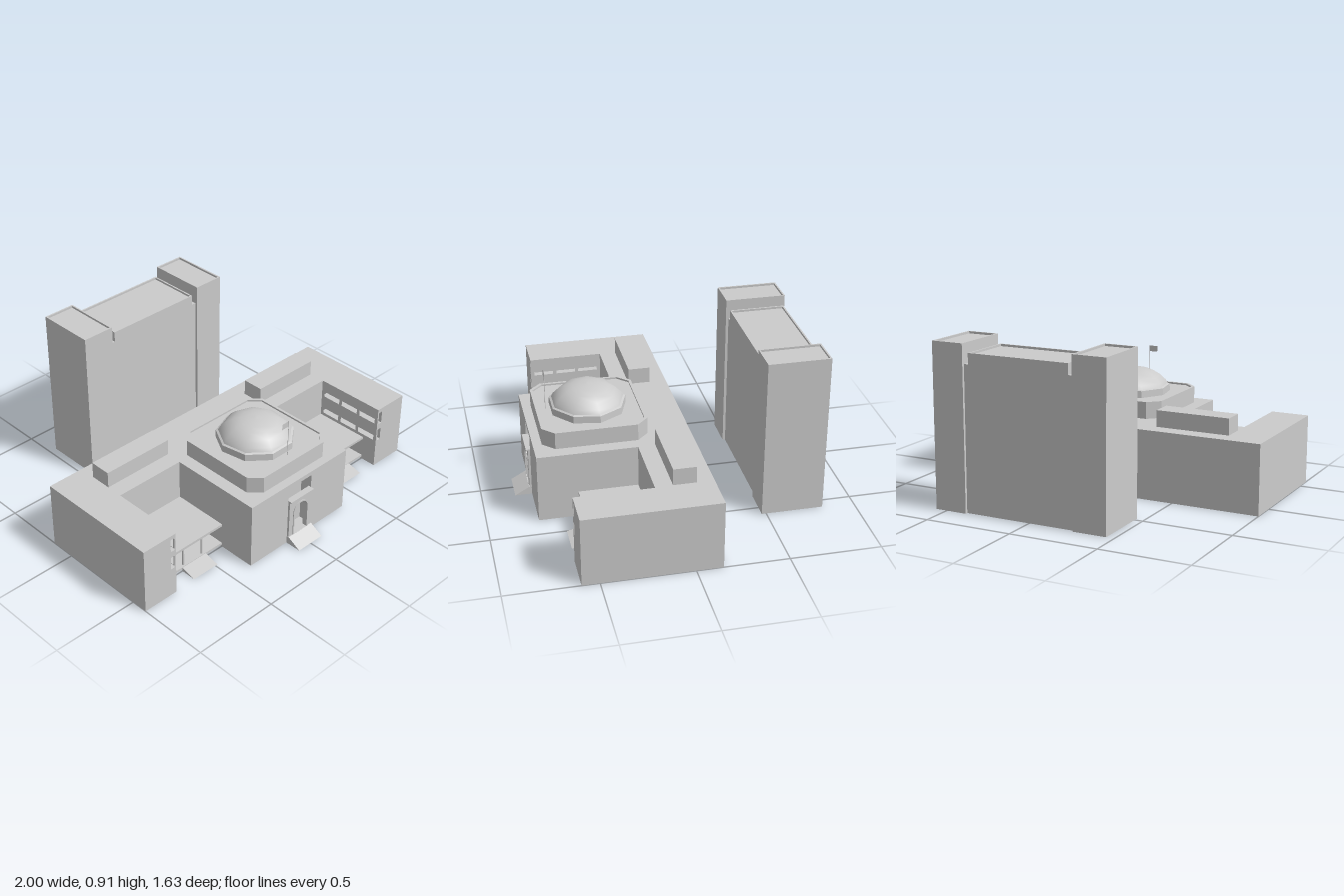
import * as THREE from 'three';
import { mergeGeometries } from 'three/addons/utils/BufferGeometryUtils.js';

const grey = new THREE.MeshStandardMaterial({ color: 0xcccccc, side: THREE.DoubleSide });
const flat = new THREE.MeshStandardMaterial({ color: 0xcccccc, side: THREE.DoubleSide, flatShading: true });

const rect = (x0, z0, x1, z1) => [[x0, z1], [x1, z1], [x1, z0], [x0, z0]];
const poly = (pts, Type = THREE.Shape) => new Type(pts.map(([x, y]) => new THREE.Vector2(x, y)));

// Upright wall from plan point a to b, with rectangular holes [u0, y0, u1, y1]
function wall(a, b, y0, y1, holes = []) {
  const dx = b[0] - a[0], dz = b[1] - a[1], len = Math.hypot(dx, dz);
  const shape = poly([[0, y0], [len, y0], [len, y1], [0, y1]]);
  for (const [u0, v0, u1, v1] of holes) {
    shape.holes.push(poly([[u0, v0], [u0, v1], [u1, v1], [u1, v0]], THREE.Path));
  }
  return new THREE.ShapeGeometry(shape).rotateY(Math.atan2(-dz, dx)).translate(a[0], 0, a[1]);
}

// Horizontal face over a plan outline, optionally with an inner outline cut out
function deck(pts, y, hole) {
  const flip = ([x, z]) => [x, -z];
  const shape = poly(pts.map(flip));
  if (hole) shape.holes.push(poly(hole.map(flip), THREE.Path));
  return new THREE.ShapeGeometry(shape).rotateX(-Math.PI / 2).translate(0, y, 0);
}

// Hollow block open underneath; "inner" gives the outline of a sunken roof behind a lip
function block(pts, y0, y1, { holes = {}, inner, sink = 0.012 } = {}) {
  const loop = (p, lo, hi, h = {}) => p.map((a, i) => wall(a, p[(i + 1) % p.length], lo, hi, h[i]));
  const parts = loop(pts, y0, y1, holes);
  if (inner) {
    parts.push(deck(pts, y1, inner), deck(inner, y1 - sink));
    parts.push(...loop([...inner].reverse(), y1 - sink, y1));
  } else parts.push(deck(pts, y1));
  return mergeGeometries(parts);
}

// Octagonal plan: a rectangle with cut corners
function cutRect(x, z0, z1, c) {
  return [[-x + c, z1], [x - c, z1], [x, z1 - c], [x, z0 + c],
    [x - c, z0], [-x + c, z0], [-x, z0 + c], [-x, z1 - c]];
}

function box(x0, x1, y0, y1, z0, z1) {
  return new THREE.BoxGeometry(x1 - x0, y1 - y0, z1 - z0)
    .translate((x0 + x1) / 2, (y0 + y1) / 2, (z0 + z1) / 2);
}

// Sloping ramp that falls towards the front
function ramp(x0, x1, z0, z1, h) {
  return new THREE.ExtrudeGeometry(poly([[-z0, 0], [-z0, h], [-z1, 0]]), { depth: x1 - x0, bevelEnabled: false })
    .rotateY(Math.PI / 2).translate(x0, 0, 0);
}

// Opening with a rounded head
function archPath(w, y0, top, Type) {
  const p = new Type();
  p.moveTo(-w, y0);
  p.lineTo(w, y0);
  p.lineTo(w, top - w);
  p.absarc(0, top - w, w, 0, Math.PI, false);
  p.lineTo(-w, y0);
  return p;
}

export function createModel() {
  const model = new THREE.Group();
  const add = (name, geo, mat = grey, parent = model) => {
    const m = new THREE.Mesh(geo, mat);
    m.name = name;
    parent.add(m);
    return m;
  };

  // Main building: back range, two wings and a projecting centre
  const plan = [[-1, 0.595], [-0.785, 0.595], [-0.785, 0.17], [-0.365, 0.17], [-0.365, 0.72], [0.365, 0.72],
    [0.365, 0.17], [0.785, 0.17], [0.785, 0.595], [1, 0.595], [1, -0.145], [-1, -0.145]];
  const rows = [[0.17, 0.25], [0.285, 0.365]];
  const windows = [0.02, 0.155, 0.29].flatMap(u => rows.map(([a, b]) => [u, a, u + 0.115, b]));
  const slots = u => rows.map(([a, b]) => [u, a, u + 0.025, b]);
  add('mainBuilding', block(plan, 0, 0.39, {
    holes: {
      0: slots(0.18), 8: slots(0.01),
      1: windows, 7: windows.map(([u0, a, u1, b]) => [0.425 - u1, a, 0.425 - u0, b]),
      4: [[0.277, 0.04, 0.453, 0.365]],
    },
  }));

  // Both courtyards: galleries, porches and roof boxes
  for (const s of [-1, 1]) {
    const side = new THREE.Group();
    side.name = s > 0 ? 'leftCourtyard' : 'rightCourtyard';
    model.add(side);
    const put = (name, x0, x1, ...rest) =>
      add(name, box(Math.min(s * x0, s * x1), Math.max(s * x0, s * x1), ...rest), grey, side);
    for (const [a, b] of [[0.158, 0.17], [0.25, 0.285], [0.365, 0.378]]) {
      put('gallerySlab', 0.787, 0.825, a, b, 0.172, 0.593);
    }
    put('galleryBackWall', 0.825, 0.83, 0.158, 0.378, 0.172, 0.593);
    put('porchRoof', 0.365, 0.785, 0.138, 0.153, 0.17, 0.5);
    put('porchFloor', 0.365, 0.785, 0.012, 0.025, 0.17, 0.5);
    for (const x of [0.502, 0.635]) {
      add('porchColumn', new THREE.CylinderGeometry(0.006, 0.006, 0.113, 10)
        .translate(s * x, 0.0815, 0.485), grey, side);
    }
    const rx = s > 0 ? 0.5 : -0.655;
    add('porchRamp', ramp(rx, rx + 0.17, 0.5, 0.59, 0.022), grey, side);
    const bx = s > 0 ? 0.355 : -0.785;
    add('roofBox', block(rect(bx, -0.05, bx + 0.425, 0.075), 0.39, 0.483), grey, side);
  }

  // Entrance recess (open at the front), portal and ramp
  const recess = [[-0.088, 0.72], [-0.088, 0.65], [0.088, 0.65], [0.088, 0.72]];
  add('entranceRecess', mergeGeometries([
    ...[0, 1, 2].map(i => wall(recess[i], recess[i + 1], 0.04, 0.365)),
    deck(rect(-0.088, 0.65, 0.088, 0.72), 0.365), deck(rect(-0.088, 0.65, 0.088, 0.72), 0.04),
  ]));
  const portal = poly([[-0.088, 0.04], [0.088, 0.04], [0.088, 0.278], [-0.088, 0.278]]);
  portal.holes.push(archPath(0.05, 0.045, 0.24, THREE.Path));
  add('entrancePortal', new THREE.ExtrudeGeometry(portal, { depth: 0.025, bevelEnabled: false, curveSegments: 6 })
    .translate(0, 0, 0.707), flat);
  const band = archPath(0.058, 0.042, 0.249, THREE.Shape);
  band.holes.push(archPath(0.05, 0.045, 0.24, THREE.Path));
  add('archMoulding', new THREE.ExtrudeGeometry(band, { depth: 0.004, bevelEnabled: false, curveSegments: 6 })
    .translate(0, 0, 0.732), flat);
  add('portalCornice', box(-0.088, 0.088, 0.276, 0.285, 0.705, 0.743));
  add('entranceLanding', box(-0.09, 0.088, 0, 0.045, 0.721, 0.735));
  add('entranceRamp', ramp(-0.09, 0.088, 0.735, 0.815, 0.045));

  // Drum with lip, nine-sided ring and dome
  add('drum', block(cutRect(0.292, 0.09, 0.67, 0.064), 0.39, 0.486,
    { inner: cutRect(0.277, 0.105, 0.655, 0.058), sink: 0.01 }));
  const ringProfile = [[0.217, 0.476], [0.215, 0.515], [0.203, 0.52]];
  const domeProfile = [[0.205, 0.515], [0.192, 0.54], [0.162, 0.57], [0.125, 0.593], [0.085, 0.606], [0.042, 0.613], [0, 0.615]];
  const lathe = profile => new THREE.LatheGeometry(profile.map(p => new THREE.Vector2(...p)), 9)
    .rotateY(Math.PI).translate(0, 0, 0.381);
  add('domeRing', lathe(ringProfile), flat);
  add('dome', lathe(domeProfile));

  // Flag on a thin pole
  add('flagPole', new THREE.CylinderGeometry(0.0015, 0.0015, 0.22, 6).translate(0.005, 0.595, 0.615));
  add('flag', new THREE.PlaneGeometry(0.048, 0.034).translate(-0.02, 0.687, 0.615));

  // Tall block behind: two towers and a lower slab with a crown
  for (const [name, x0, x1] of [['rightTower', -0.455, -0.263], ['leftTower', 0.38, 0.565]]) {
    add(name, block(rect(x0, -0.82, x1, -0.475), 0, 0.91,
      { inner: rect(x0 + 0.009, -0.811, x1 - 0.009, -0.484) }));
  }
  add('towerSlab', block(rect(-0.263, -0.805, 0.38, -0.49), 0, 0.8));
  add('slabCrown', block(rect(-0.235, -0.805, 0.355, -0.49), 0.8, 0.86,
    { inner: rect(-0.226, -0.796, 0.346, -0.499) }));

  return model;
}
